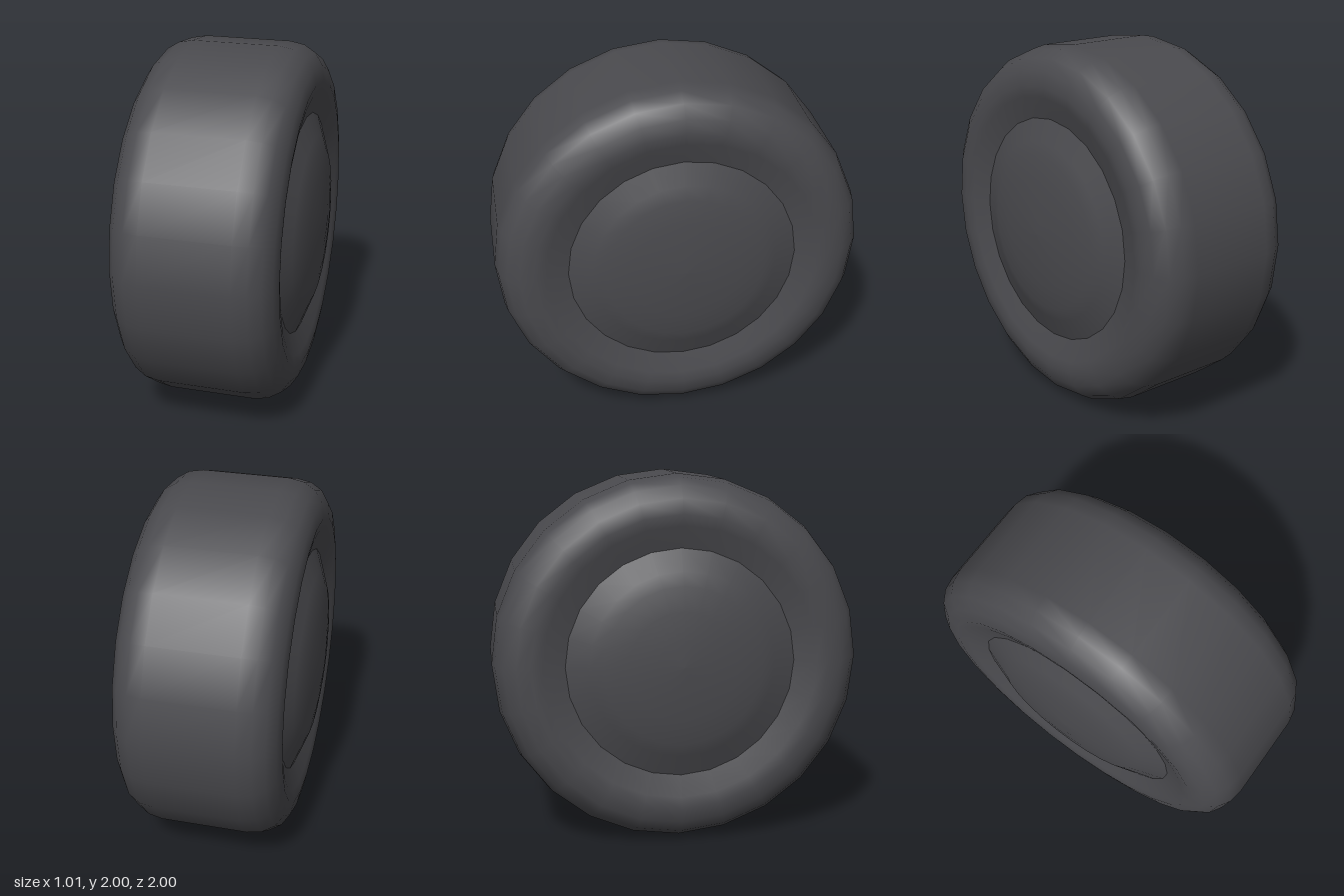
import * as THREE from 'three';

const SIDES = 24;

export function createModel() {
  const group = new THREE.Group();
  group.name = 'wheel';
  const rubber = new THREE.MeshStandardMaterial({ color: 0x4a4a4e });
  rubber.name = 'dark rubber';

  // Turns a [radius, offset] profile around the x axle
  const turn = (name, profile) => {
    const geometry = new THREE.LatheGeometry(profile.map(([r, x]) => new THREE.Vector2(r, x)), SIDES);
    geometry.rotateZ(-Math.PI / 2);
    const mesh = new THREE.Mesh(geometry, rubber);
    mesh.name = name;
    mesh.position.y = 1;
    group.add(mesh);
    return mesh;
  };

  // Tyre: dished inner lip, flat sidewall, rounded shoulder, flat tread
  const half = [
    [1, 0.24], [0.985, 0.32], [0.945, 0.385], [0.88, 0.427], [0.8, 0.442], [0.74, 0.43], [0.62, 0.395],
  ];
  const mirrored = half.map(([r, x]) => [r, -x]).reverse();
  turn('tyre', [...mirrored, ...half]);

  // Shallow domed hub caps on both sides
  const dome = [[0.62, 0.395], [0.5, 0.44], [0.43, 0.466], [0.3, 0.484], [0.15, 0.499], [0, 0.503]];
  turn('leftHubCap', dome);
  turn('rightHubCap', dome).rotation.y = Math.PI;

  return group;
}
